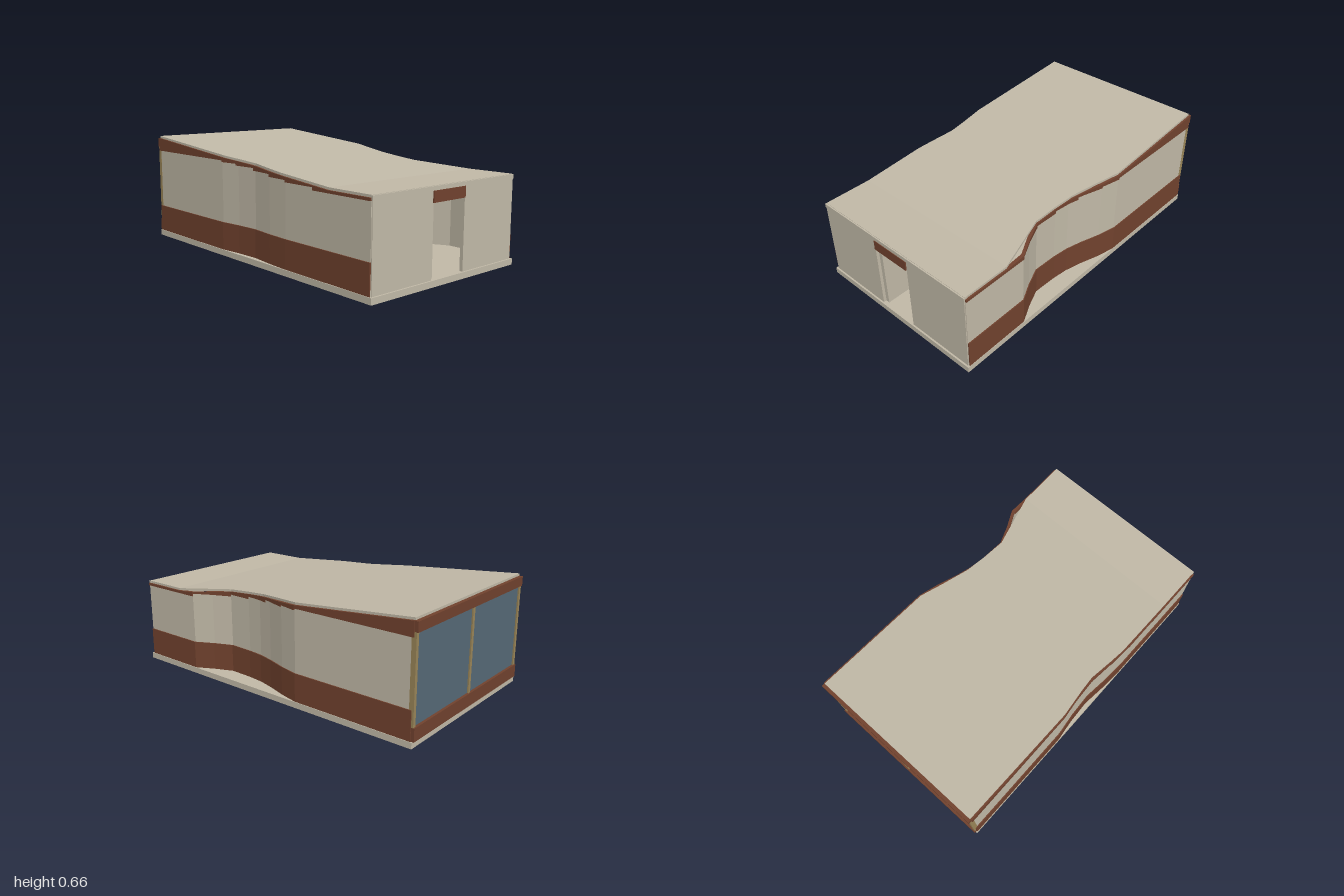
import * as THREE from 'three';

const mat = (name, color) => new THREE.MeshStandardMaterial({ name, color });

// Plan outlines as [z, x] from front to back
const RIGHT = [[0.98, 0.549], [0.57, 0.549], [0.46, 0.492], [0.35, 0.446], [0.2, 0.45], [0.1, 0.461],
  [0, 0.485], [-0.12, 0.522], [-0.24, 0.549], [-0.98, 0.549]];
const LEFT = [[0.98, -0.549], [0.35, -0.549], [0.2, -0.54], [0.05, -0.524], [-0.1, -0.532],
  [-0.24, -0.549], [-0.98, -0.549]];
const ROOF_RIGHT = [[0.98, 0.545], [0.69, 0.545], [0.35, 0.443], [0.2, 0.45], [0.07, 0.463],
  [-0.1, 0.505], [-0.24, 0.543], [-0.98, 0.543]];
const ROOF_LEFT = [[0.98, -0.545], [0.3, -0.545], [0.2, -0.535], [0.05, -0.517], [-0.05, -0.525],
  [-0.22, -0.545], [-0.98, -0.545]];

// Panels along the side walls: [front z, back z, top of the pale panel]
const PANELS = [[0.98, 0.57, 0.487], [0.57, 0.35, 0.503], [0.35, 0.2, 0.515], [0.2, 0.04, 0.53],
  [0.04, -0.12, 0.545], [-0.12, -0.24, 0.555], [-0.24, -0.98, 0.565]];

// Underside of the roof: flat at the front, then rising to the back
const roofY = z => 0.502 + Math.max(0, 0.69 - z) * 0.0868;

function along(path, z) {
  for (let i = 1; i < path.length; i++) {
    const [z0, x0] = path[i - 1], [z1, x1] = path[i];
    if (z >= z1 - 1e-6) return x0 + (x1 - x0) * (z0 - z) / (z0 - z1);
  }
  return path[path.length - 1][1];
}

// Solid through rectangular sections [z, x0, x1, y0, y1], ordered front to back
function loft(sections) {
  const v = [];
  const rings = sections.map(([z, a, b, c, d]) => [[a, c, z], [b, c, z], [b, d, z], [a, d, z]]);
  const quad = (a, b, c, d) => [a, b, c, a, c, d].forEach(p => v.push(...p));
  quad(...rings[0]);
  quad(...[...rings[rings.length - 1]].reverse());
  for (let s = 1; s < rings.length; s++) {
    const f = rings[s - 1], k = rings[s];
    for (let i = 0; i < 4; i++) quad(f[i], k[i], k[(i + 1) % 4], f[(i + 1) % 4]);
  }
  const g = new THREE.BufferGeometry();
  g.setAttribute('position', new THREE.Float32BufferAttribute(v, 3));
  g.computeVertexNormals();
  return g;
}

// All section positions between two z values
function stops(zFront, zBack, ...paths) {
  const inner = paths.flat().map(p => p[0]).concat(0.69).filter(z => z < zFront - 1e-4 && z > zBack + 1e-4);
  return [...new Set([zFront, ...inner, zBack])].sort((a, b) => b - a);
}

export function createModel() {
  const model = new THREE.Group();
  model.name = 'pavilion';
  const pale = mat('paleStone', 0xc1b9a7);
  const brown = mat('brownWood', 0x71422e);
  const blue = mat('blueGlass', 0x566976);
  const tan = mat('tanTimber', 0x9a8558);

  const add = (parent, name, geometry, material) => {
    const m = new THREE.Mesh(geometry, material);
    m.name = name;
    parent.add(m);
    return m;
  };
  // Box given by its lower and upper limits
  const box = (parent, name, material, x0, x1, y0, y1, z0, z1) => {
    const m = add(parent, name, new THREE.BoxGeometry(x1 - x0, y1 - y0, z1 - z0), material);
    m.position.set((x0 + x1) / 2, (y0 + y1) / 2, (z0 + z1) / 2);
    return m;
  };

  box(model, 'baseSlab', pale, -0.557, 0.557, 0, 0.035, -0.99, 0.995);

  // Curved side walls: pale panels, brown base band and stepped brown fascia
  for (const [name, path, side] of [['leftWall', RIGHT, 1], ['rightWall', LEFT, -1]]) {
    const wall = new THREE.Group();
    wall.name = name;
    model.add(wall);
    const strip = (part, material, zf, zb, inner, outer, y0, top) => {
      add(wall, part, loft(stops(zf, zb, path).map(z => {
        const x = along(path, z);
        const xs = [x - side * inner, x + side * outer].sort((a, b) => a - b);
        return [z, ...xs, y0, top(z)];
      })), material);
    };
    strip('baseBand', brown, 0.98, -0.98, 0.002, 0.006, 0.036, () => 0.2);
    for (const [zf, zb, top] of PANELS) {
      strip('palePanel', pale, zf, zb, 0.014, 0, 0.035, () => top);
      strip('fascia', brown, zf, zb, 0.014, 0.006, top, roofY);
    }
  }

  // Roof slab following the wall curves
  add(model, 'roof', loft(stops(0.98, -0.98, ROOF_LEFT, ROOF_RIGHT).map(z =>
    [z, along(ROOF_LEFT, z), along(ROOF_RIGHT, z), roofY(z), roofY(z) + 0.013])), pale);

  // Front wall with doorway
  const front = new THREE.Group();
  front.name = 'frontWall';
  model.add(front);
  for (const s of [-1, 1]) {
    const xs = [s * 0.125, s * 0.545].sort((a, b) => a - b);
    box(front, 'frontPanel', pale, ...xs, 0.035, 0.49, 0.965, 0.985);
  }
  box(front, 'headBeam', pale, -0.547, 0.547, 0.49, 0.513, 0.965, 0.988);
  box(front, 'doorLintel', brown, -0.124, 0.124, 0.43, 0.491, 0.97, 0.991);
  box(front, 'openDoor', pale, -0.124, -0.1, 0.036, 0.43, 0.73, 0.968);
  box(front, 'innerDoorPost', brown, -0.1, -0.091, 0.036, 0.425, 0.68, 0.74);

  // Glazed back wall
  const back = new THREE.Group();
  back.name = 'backWall';
  model.add(back);
  box(back, 'backSill', brown, -0.55, 0.55, 0.036, 0.11, -0.999, -0.968);
  box(back, 'backHeader', brown, -0.55, 0.55, 0.59, 0.645, -0.999, -0.968);
  box(back, 'glass', blue, -0.54, 0.54, 0.11, 0.59, -0.984, -0.976);
  for (const x of [-0.54, 0, 0.54])
    box(back, 'mullion', tan, x - 0.01, x + 0.01, 0.11, 0.592, -0.992, -0.965);

  // Table with legs and cross rails
  const table = new THREE.Group();
  table.name = 'table';
  model.add(table);
  box(table, 'tableTop', brown, -0.076, 0.076, 0.128, 0.14, -0.15, 0.15);
  for (const x of [-0.045, 0.045]) {
    for (const z of [-0.12, 0.12]) box(table, 'tableLeg', brown, x - 0.005, x + 0.005, 0.035, 0.128, z - 0.005, z + 0.005);
    box(table, 'tableRail', brown, x - 0.004, x + 0.004, 0.06, 0.07, -0.12, 0.12);
  }

  // Bench with a high back
  const bench = new THREE.Group();
  bench.name = 'bench';
  model.add(bench);
  box(bench, 'benchSeat', brown, 0.06, 0.24, 0.035, 0.09, -0.5, -0.28);
  box(bench, 'benchBack', brown, 0.06, 0.24, 0.035, 0.185, -0.54, -0.5);

  // Sloping braces under the roof
  for (const s of [-1, 1]) {
    const brace = box(model, 'roofBrace', pale, -0.045, 0.045, -0.005, 0.005, -0.01, 0.01);
    brace.position.set(s * 0.083, 0.418, -0.2);
    brace.rotation.z = s * 0.45;
  }
  return model;
}
